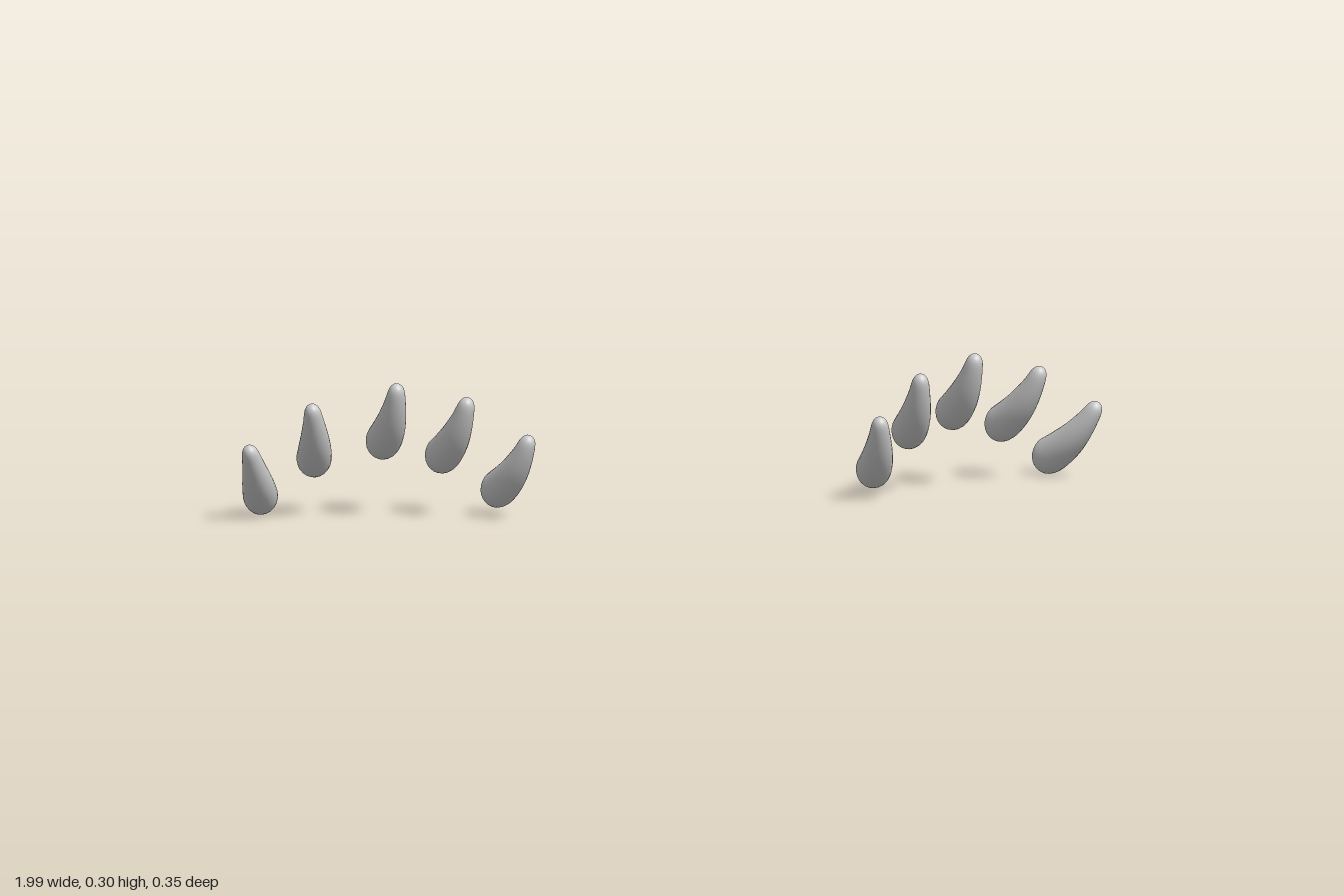
import * as THREE from 'three';
import { mergeVertices } from 'three/addons/utils/BufferGeometryUtils.js';

const V2 = (x, y) => new THREE.Vector2(x, y);
const V3 = (x, y, z) => new THREE.Vector3(x, y, z);

// Radius of a claw against the fraction of its length, root to tip
const PROFILE = new THREE.SplineCurve([
  V2(0, 0), V2(0.024, 0.022), V2(0.08, 0.036), V2(0.18, 0.041), V2(0.4, 0.038), V2(0.6, 0.032),
  V2(0.78, 0.025), V2(0.92, 0.019), V2(0.98, 0.011), V2(1, 0),
]).getPoints(36);

// Centre line of a claw as fractions of the way from root to tip
const BEND = [[0, 0, 0], [0.1, 0.04, 0.2], [0.42, 0.31, 0.56], [0.72, 0.64, 0.82], [1, 1, 1]];

// A lathed claw whose straight axis is bent along the centre line
function clawGeometry(root, tip) {
  const path = new THREE.CatmullRomCurve3(BEND.map(([a, b, c]) => V3(
    THREE.MathUtils.lerp(root.x, tip.x, a),
    THREE.MathUtils.lerp(root.y, tip.y, b),
    THREE.MathUtils.lerp(root.z, tip.z, c))));
  let geo = new THREE.LatheGeometry(
    PROFILE.map((p) => V2(Math.max(p.y, 0), THREE.MathUtils.clamp(p.x, 0, 1))), 24);
  const pos = geo.attributes.position;
  for (let i = 0; i < pos.count; i++) {
    const t = pos.getY(i);
    const along = path.getTangentAt(t);
    const across = V3(1, 0, 0).cross(along).normalize();
    const side = along.clone().cross(across);
    const p = path.getPointAt(t)
      .addScaledVector(side, pos.getX(i) * 0.93)
      .addScaledVector(across, pos.getZ(i));
    pos.setXYZ(i, p.x, p.y, p.z);
  }
  // Weld the seam so the shading is smooth all round
  geo.deleteAttribute('uv');
  geo.deleteAttribute('normal');
  geo = mergeVertices(geo, 1e-5);
  geo.computeVertexNormals();
  return geo;
}

// Inner to outer: root x, y, z, tip x, y, z, outward shift on the right paw
const CLAWS = [
  [0.438, 0.055, 0.012, 0.405, 0.192, 0.168, 0],
  [0.540, 0.127, -0.046, 0.522, 0.273, 0.109, 0.004],
  [0.658, 0.156, -0.099, 0.670, 0.303, 0.054, 0],
  [0.786, 0.117, -0.151, 0.841, 0.260, 0.002, 0.008],
  [0.902, 0.038, -0.174, 0.982, 0.172, -0.025, 0.004],
];

export function createModel() {
  const model = new THREE.Group();
  model.name = 'claws';
  const material = new THREE.MeshStandardMaterial({ color: 0xcccccc });
  for (const [name, s] of [['left', 1], ['right', -1]]) {
    const paw = new THREE.Group();
    paw.name = name + 'PawClaws';
    CLAWS.forEach(([rx, ry, rz, tx, ty, tz, shift], i) => {
      const d = s < 0 ? shift : 0;
      const claw = new THREE.Mesh(
        clawGeometry(V3(s * (rx + d), ry, rz), V3(s * (tx + d), ty, tz)), material);
      claw.name = `${name}Claw${i + 1}`;
      paw.add(claw);
    });
    model.add(paw);
  }
  return model;
}
